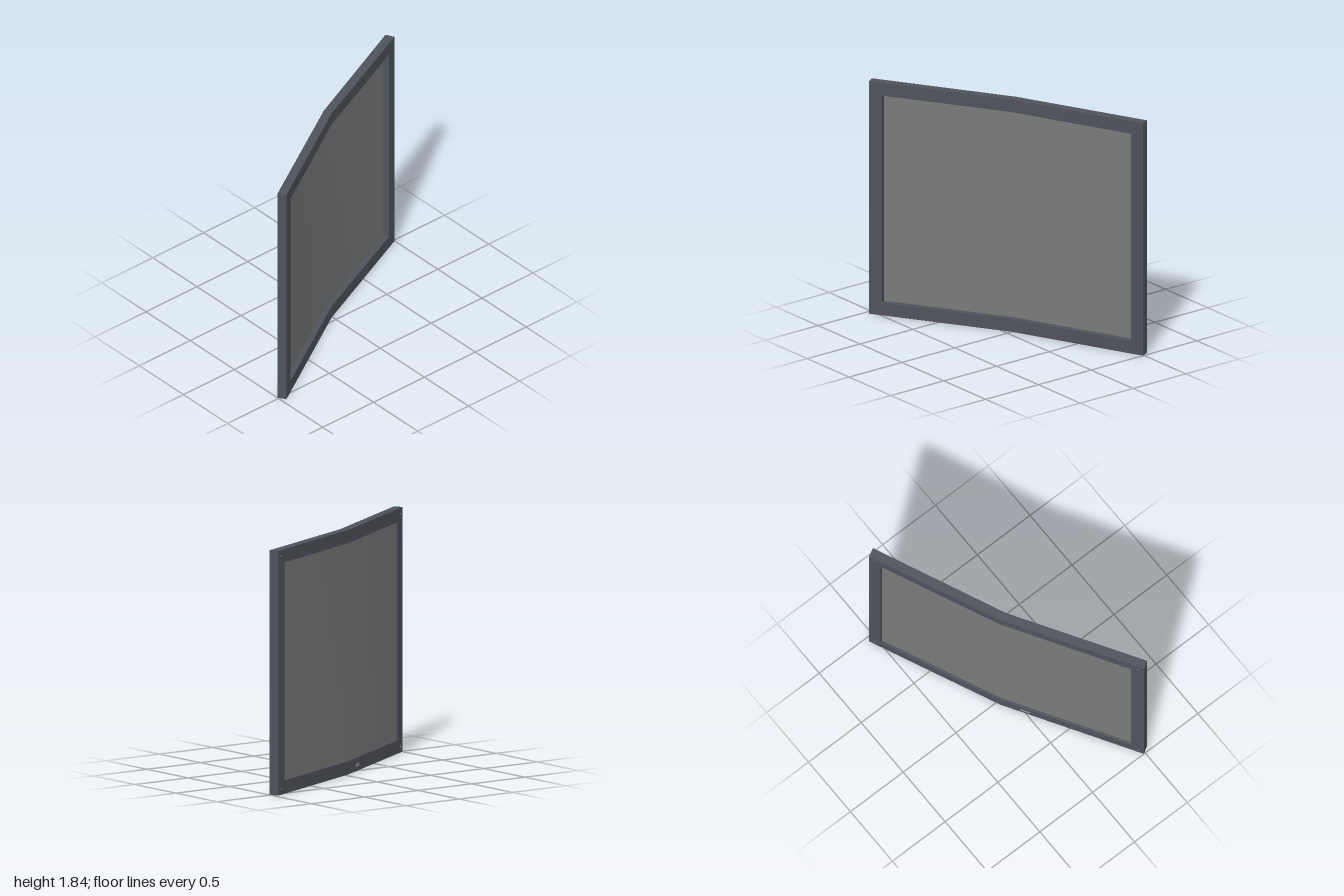
import * as THREE from 'three';
import { toCreasedNormals } from 'three/addons/utils/BufferGeometryUtils.js';

// Plan corners [x, z] at the right end, the bend and the left end
const FRONT = [[-0.963, 0.547], [-0.01, -0.04], [1, -0.49]];
const BACK = [[-1, 0.488], [-0.03, -0.105], [0.967, -0.555]];
const HEIGHT = 1.84;
const RAIL = 0.1;   // frame width
const EDGE = 0.91;  // where the opening ends along the path

// Plan point: t runs -1..1 along the bent path, k runs 0 (back) to 1 (front)
function planPoint(t, k) {
  const i = t < 0 ? 0 : 1;
  const f = t < 0 ? t + 1 : t;
  const mix = (a, b, w) => a + (b - a) * w;
  const at = (line, c) => mix(line[i][c], line[i + 1][c], f);
  return new THREE.Vector2(mix(at(BACK, 0), at(FRONT, 0), k), mix(at(BACK, 1), at(FRONT, 1), k));
}

// Upright slab following the bent path between two path positions
function slab(t0, t1, k0, k1, y0, y1) {
  const stops = t0 < 0 && t1 > 0 ? [t0, 0, t1] : [t0, t1];
  const outline = [
    ...stops.map(t => planPoint(t, k1)),
    ...stops.slice().reverse().map(t => planPoint(t, k0)),
  ].map(p => new THREE.Vector2(p.x, -p.y));
  const geo = new THREE.ExtrudeGeometry(new THREE.Shape(outline), { depth: y1 - y0, bevelEnabled: false });
  geo.rotateX(-Math.PI / 2).translate(0, y0, 0);
  return toCreasedNormals(geo, 0.5);
}

export function createModel() {
  const group = new THREE.Group();
  const frameMat = new THREE.MeshStandardMaterial({ name: 'slate frame', color: 0x50535b });
  const panelMat = new THREE.MeshStandardMaterial({ name: 'grey panel', color: 0x7a7a7a });
  const metalMat = new THREE.MeshStandardMaterial({ name: 'light metal', color: 0x8c8e92 });

  const add = (name, geo, mat) => {
    const mesh = new THREE.Mesh(geo, mat);
    mesh.name = name;
    group.add(mesh);
    return mesh;
  };

  // Frame rails and posts
  add('bottomRail', slab(-1, 1, 0, 1, 0, RAIL), frameMat);
  add('topRail', slab(-1, 1, 0, 1, HEIGHT - RAIL, HEIGHT), frameMat);
  add('rightPost', slab(-1, -EDGE, 0, 1, RAIL, HEIGHT - RAIL), frameMat);
  add('leftPost', slab(EDGE, 1, 0, 1, RAIL, HEIGHT - RAIL), frameMat);

  // Recessed panel, set nearer the back
  add('panel', slab(-EDGE, EDGE, 0.27, 0.34, RAIL, HEIGHT - RAIL), panelMat);

  // Screw heads in the back corners
  for (const t of [-0.96, 0.96]) {
    for (const y of [0.045, HEIGHT - 0.045]) {
      const screw = add('backScrew', new THREE.CylinderGeometry(0.007, 0.007, 0.004, 12), metalMat);
      const p = planPoint(t, 0);
      const q = planPoint(t, 1);
      const out = new THREE.Vector3(p.x - q.x, 0, p.y - q.y).normalize();
      screw.position.set(p.x, y, p.y);
      screw.quaternion.setFromUnitVectors(new THREE.Vector3(0, 1, 0), out);
    }
  }

  // Small plate on the back of the bottom rail
  add('backPlate', slab(-0.21, -0.14, -0.04, 0.04, 0.03, 0.055), metalMat);

  return group;
}
